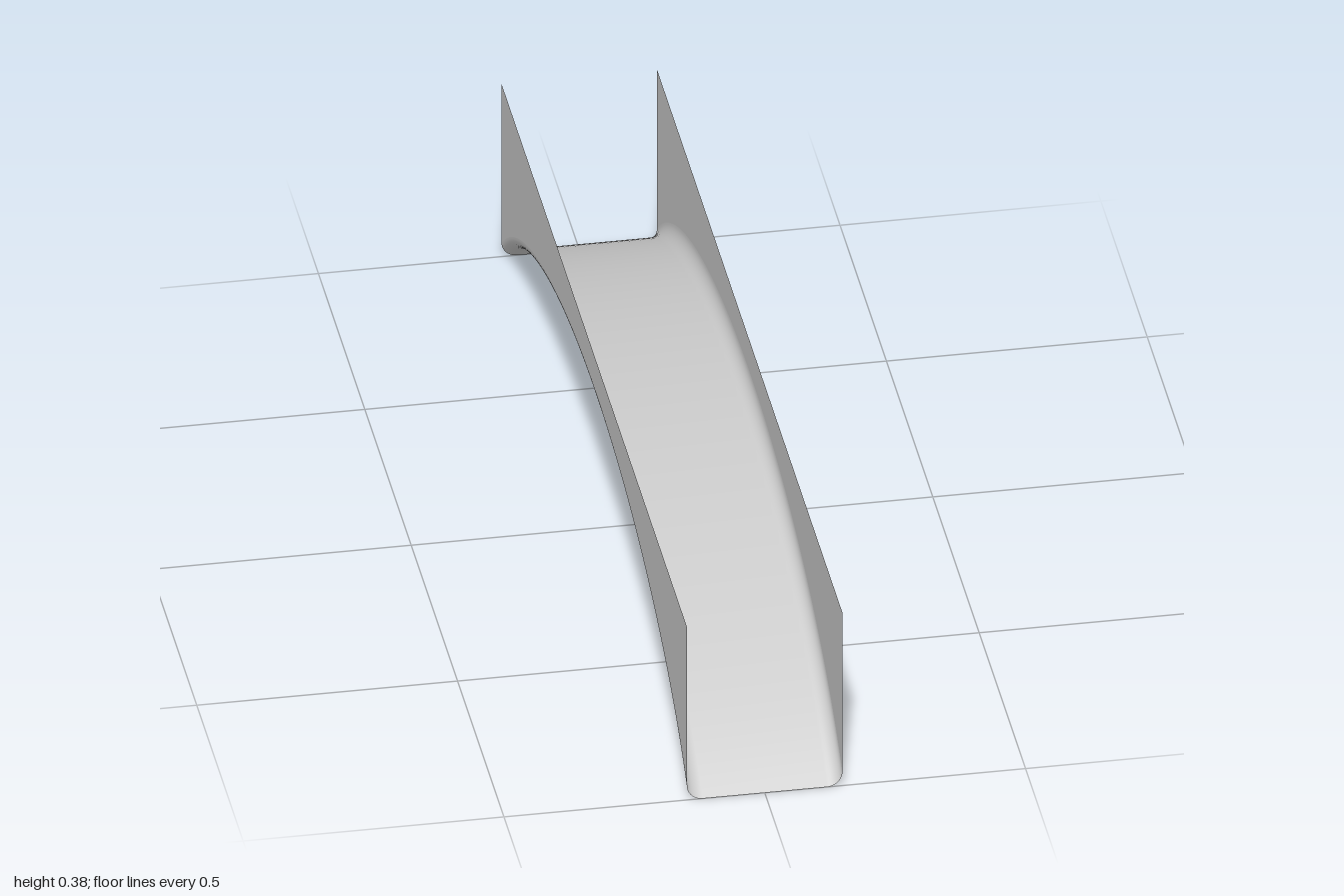
import * as THREE from 'three';

const HALF_WIDTH = 0.149, TOP = 0.382, FILLET = 0.03;
const material = new THREE.MeshStandardMaterial({ color: 0xcccccc, side: THREE.DoubleSide });

// Height of the arched floor: an elliptic arc, 0 at both ends
function archHeight(z) {
  const a = 1.13, end = Math.sqrt(1 - 1 / (a * a));
  return 0.283 * (Math.sqrt(Math.max(0, 1 - (z * z) / (a * a))) - end) / (1 - end);
}

// Surface through cross-sections along z; section(z) returns [x, y] points
function loft(name, section, steps = 96) {
  const positions = [], index = [];
  let n = 0;
  for (let i = 0; i <= steps; i++) {
    const z = -1 + (2 * i) / steps;
    const points = section(z);
    n = points.length;
    for (const [x, y] of points) positions.push(x, y, z);
  }
  for (let i = 0; i < steps; i++) {
    for (let j = 0; j < n - 1; j++) {
      const p = i * n + j, q = p + n;
      index.push(p, q, p + 1, p + 1, q, q + 1);
    }
  }
  const geometry = new THREE.BufferGeometry();
  geometry.setAttribute('position', new THREE.Float32BufferAttribute(positions, 3));
  geometry.setIndex(index);
  geometry.computeVertexNormals();
  const mesh = new THREE.Mesh(geometry, material);
  mesh.name = name;
  return mesh;
}

// Flat floor with a rounded corner rising to each wall
function floorSection(z) {
  const y = archHeight(z), right = [], left = [], arcs = 10;
  for (let k = 0; k <= arcs; k++) {
    const t = (k / arcs) * Math.PI / 2;
    const x = HALF_WIDTH - FILLET + FILLET * Math.sin(t);
    const h = y + FILLET * (1 - Math.cos(t));
    left.push([x, h]);
    right.unshift([-x, h]);
  }
  return [...right, ...left];
}

export function createModel() {
  const group = new THREE.Group();
  group.name = 'archedChannel';
  group.add(loft('archedFloor', floorSection));

  // Thin upright walls, level on top and following the arch below
  for (const [name, side] of [['leftWall', 1], ['rightWall', -1]]) {
    group.add(loft(name, (z) => {
      const low = [side * HALF_WIDTH, archHeight(z) + FILLET];
      const high = [side * HALF_WIDTH, TOP];
      return side > 0 ? [high, low] : [low, high];
    }));
  }
  return group;
}
